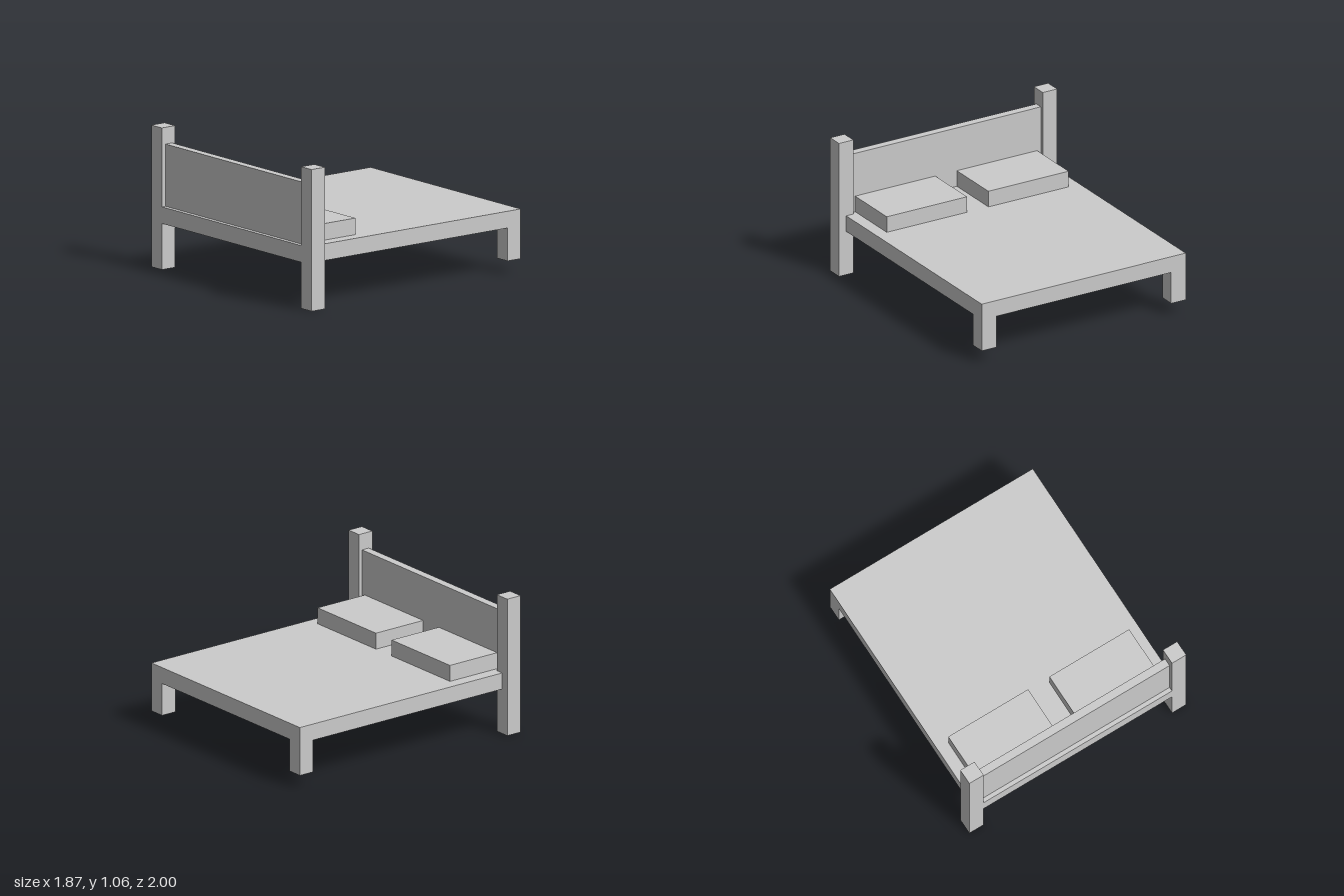
import * as THREE from 'three';

const material = new THREE.MeshStandardMaterial({ color: 0xcccccc, flatShading: true });

// Box given by its lower and upper limits on each axis
function block(name, [x0, x1], [y0, y1], [z0, z1]) {
  const mesh = new THREE.Mesh(new THREE.BoxGeometry(x1 - x0, y1 - y0, z1 - z0), material);
  mesh.position.set((x0 + x1) / 2, (y0 + y1) / 2, (z0 + z1) / 2);
  mesh.name = name;
  return mesh;
}

export function createModel() {
  const bed = new THREE.Group();
  bed.name = 'bed';

  // Slab and the panel between the tall posts
  bed.add(block('bedBase', [-0.875, 0.875], [0.345, 0.47], [-1, 1]));
  bed.add(block('headboard', [-0.8125, 0.8125], [0.47, 0.935], [0.905, 0.967]));

  // Mirrored posts, short legs and pillows
  for (const [side, s] of [['left', 1], ['right', -1]]) {
    const span = (a, b) => (s > 0 ? [a, b] : [-b, -a]);
    bed.add(block(side + 'HeadPost', span(0.8125, 0.935), [0, 1.06], [0.877, 1]));
    bed.add(block(side + 'FootLeg', span(0.75, 0.875), [0.098, 0.345], [-1, -0.877]));
    bed.add(block(side + 'Pillow', span(0.092, 0.78), [0.47, 0.594], [0.467, 0.905]));
  }
  return bed;
}
